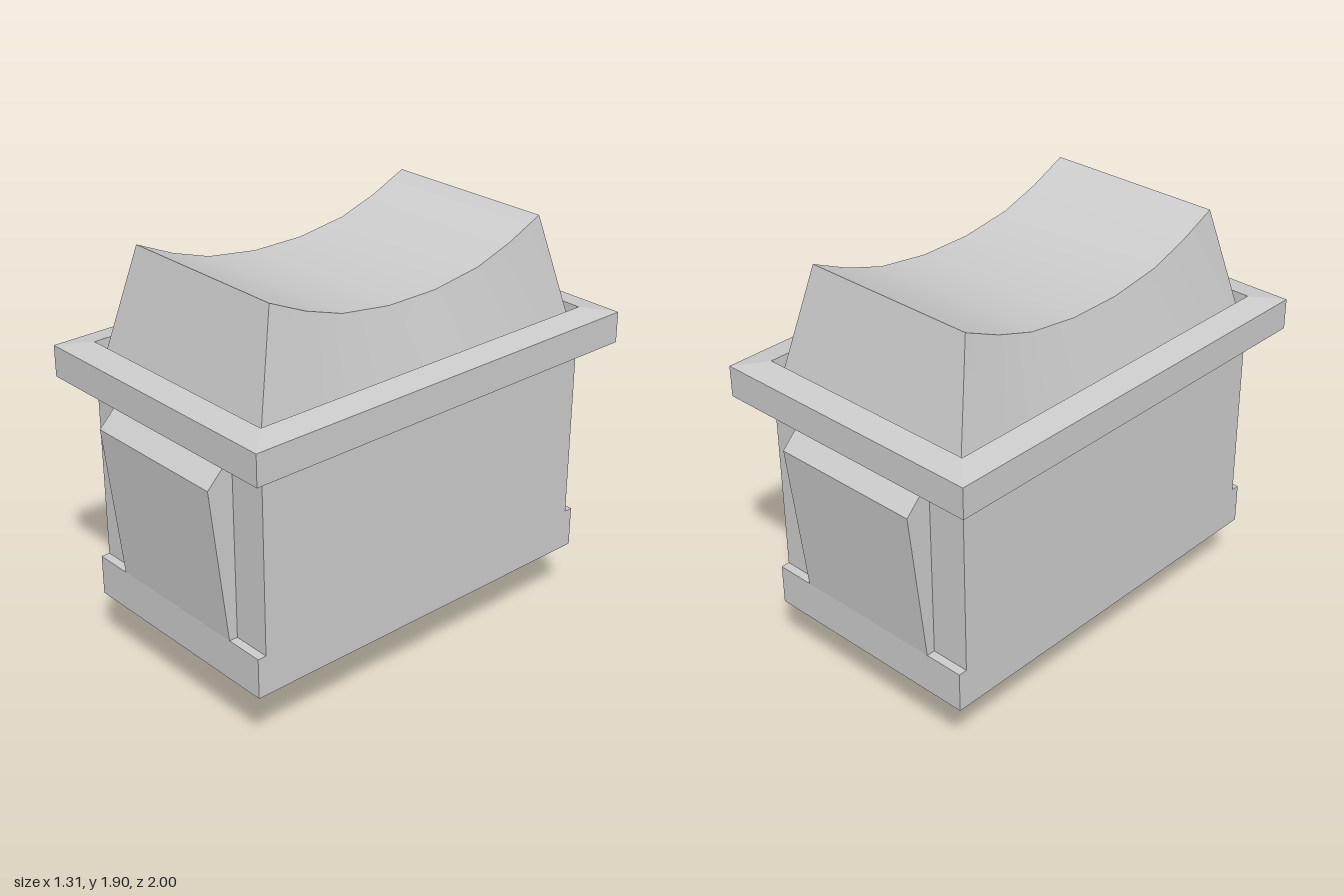
import * as THREE from 'three';
import { toCreasedNormals } from 'three/addons/utils/BufferGeometryUtils.js';

const material = new THREE.MeshStandardMaterial({ color: 0xcccccc });

function part(name, geometry) {
  const mesh = new THREE.Mesh(geometry, material);
  mesh.name = name;
  return mesh;
}

// Flat-shaded surface from quads, each a list of four corners in counter-clockwise order
function fromQuads(quads) {
  const pos = quads.flatMap(([a, b, c, d]) => [a, b, c, a, c, d].flat());
  const g = new THREE.BufferGeometry();
  g.setAttribute('position', new THREE.Float32BufferAttribute(pos, 3));
  g.computeVertexNormals();
  return g;
}

// Skin over rectangular rings given as [half width, y, half depth]
function rectLoft(rings) {
  const corners = rings.map(([x, y, z]) => [[-x, y, z], [x, y, z], [x, y, -z], [-x, y, -z]]);
  const quads = [];
  for (let i = 0; i < rings.length - 1; i++) {
    for (let k = 0; k < 4; k++) {
      const n = (k + 1) % 4;
      quads.push([corners[i][k], corners[i][n], corners[i + 1][n], corners[i + 1][k]]);
    }
  }
  return fromQuads(quads);
}

// Rocker with tapered walls and a concave top, skinned from front to back
function rockerGeometry() {
  const half = [[0.73, 1.897], [0.553, 1.817], [0.37, 1.757], [0.125, 1.723]];
  const arc = [...half, ...half.slice().reverse().map(([z, y]) => [-z, y])];
  const baseY = 1.35, baseX = 0.515, topX = 0.415, spread = 0.872 / 0.73;
  const sections = arc.map(([z, y]) => [
    [-baseX, baseY, z * spread], [baseX, baseY, z * spread], [topX, y, z], [-topX, y, z],
  ]);
  const quads = [sections[0], sections[sections.length - 1].slice().reverse()];
  for (let i = 0; i < sections.length - 1; i++) {
    for (let k = 0; k < 4; k++) {
      const n = (k + 1) % 4;
      quads.push([sections[i][n], sections[i][k], sections[i + 1][k], sections[i + 1][n]]);
    }
  }
  return toCreasedNormals(fromQuads(quads), 0.5);
}

// Wedge-shaped snap clip, its profile drawn in z and y and extruded across x
function clipGeometry() {
  const profile = new THREE.Shape([[0.86, 0.48], [0.92, 0.48], [1, 1.185], [0.88, 1.305], [0.86, 1.305]]
    .map(([z, y]) => new THREE.Vector2(z, y)));
  const g = new THREE.ExtrudeGeometry(profile, { depth: 0.71, bevelEnabled: false });
  return g.rotateY(-Math.PI / 2).translate(0.355, 0, 0);
}

// Flat terminal blade with clipped lower corners
function terminalGeometry() {
  const right = [[0.155, 0], [0.225, 0.03], [0.253, 0.105], [0.253, 0.31]];
  const left = right.slice().reverse().map(([x, y]) => [-x, y]);
  const outline = new THREE.Shape([...right, ...left].map(([x, y]) => new THREE.Vector2(x, y)));
  const g = new THREE.ExtrudeGeometry(outline, { depth: 0.045, bevelEnabled: false });
  return g.translate(0, 0, -0.0225);
}

export function createModel() {
  const model = new THREE.Group();
  model.name = 'rockerSwitch';

  // Housing: a tall body on a slightly deeper base
  model.add(part('housingBody', new THREE.BoxGeometry(1.07, 0.835, 1.76).translate(0, 0.8975, 0)));
  model.add(part('housingBase', new THREE.BoxGeometry(1.07, 0.185, 1.84).translate(0, 0.3875, 0)));

  // Bezel with sloped faces and a recess for the rocker
  model.add(part('bezel', rectLoft([
    [0.535, 1.305, 0.88], [0.655, 1.32, 1], [0.655, 1.46, 1],
    [0.535, 1.48, 0.88], [0.535, 1.35, 0.88], [0, 1.35, 0],
  ])));

  model.add(part('rocker', rockerGeometry()));

  // Clips and terminals, one of each at both ends
  const clip = clipGeometry();
  const terminal = terminalGeometry();
  for (const [end, sign] of [['front', 1], ['back', -1]]) {
    const c = part(end + 'Clip', clip);
    c.rotation.y = sign > 0 ? 0 : Math.PI;
    const t = part(end + 'Terminal', terminal);
    t.position.z = sign * 0.602;
    model.add(c, t);
  }
  return model;
}
